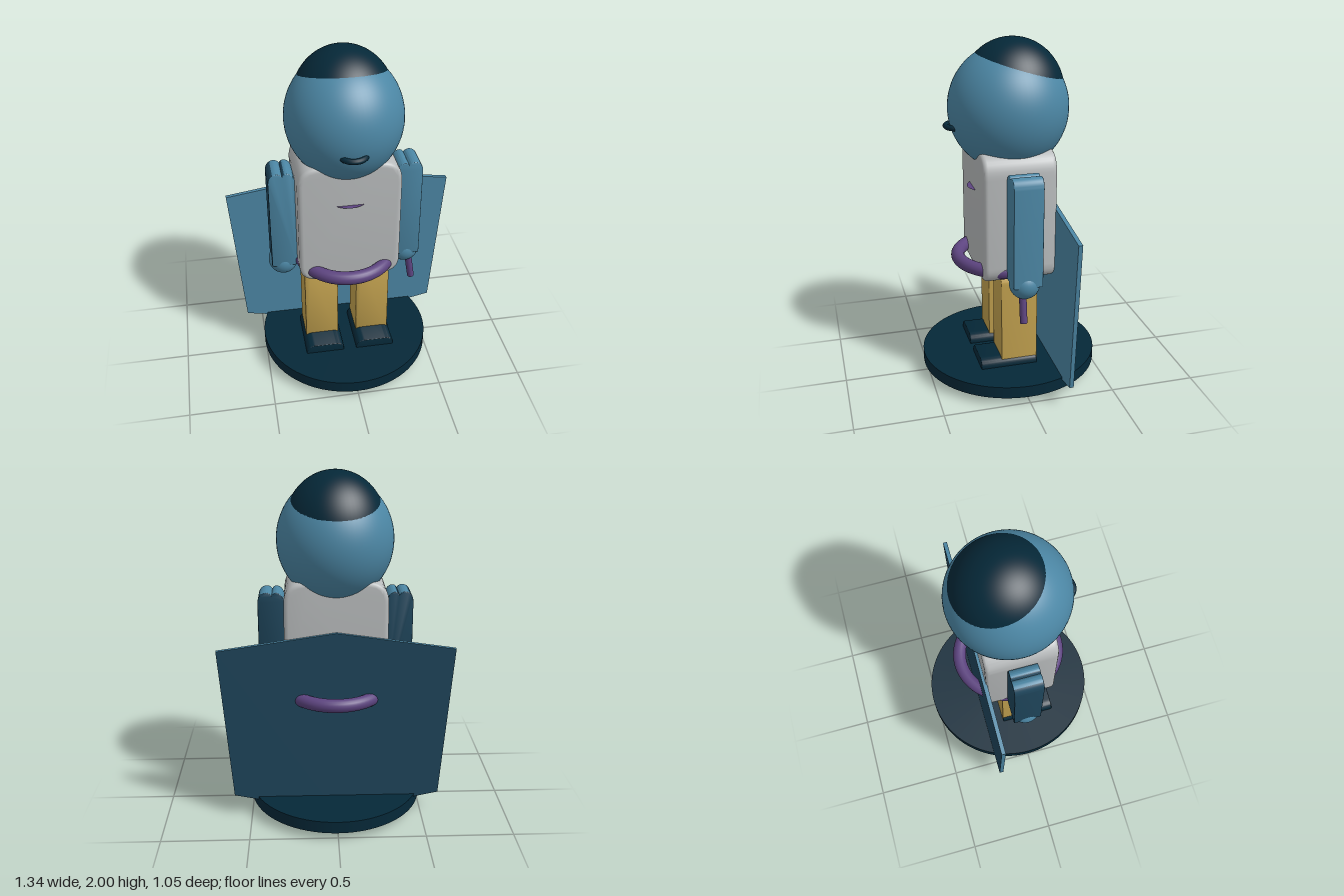
import * as THREE from 'three';
import { toCreasedNormals } from 'three/addons/utils/BufferGeometryUtils.js';

const material = (name, color, side = THREE.FrontSide) => {
  const m = new THREE.MeshStandardMaterial({ color, side });
  m.name = name;
  return m;
};

// Outline with corners rounded by radius rTop / rBottom
function roundedOutline(x0, x1, y0, y1, rTop, rBottom) {
  const s = new THREE.Shape();
  s.moveTo(x0 + rBottom, y0);
  s.lineTo(x1 - rBottom, y0);
  s.quadraticCurveTo(x1, y0, x1, y0 + rBottom);
  s.lineTo(x1, y1 - rTop);
  s.quadraticCurveTo(x1, y1, x1 - rTop, y1);
  s.lineTo(x0 + rTop, y1);
  s.quadraticCurveTo(x0, y1, x0, y1 - rTop);
  s.lineTo(x0, y0 + rBottom);
  s.quadraticCurveTo(x0, y0, x0 + rBottom, y0);
  return s;
}

// Arm outline with a shallow groove between two shoulder lobes
function armOutline(side) {
  const s = new THREE.Shape();
  const curve = (cx, cy, x, y) => s.quadraticCurveTo(side * cx, cy, side * x, y);
  s.moveTo(side * 0.29, 0.7);
  s.lineTo(side * 0.44, 0.7);
  s.lineTo(side * 0.44, 1.27);
  curve(0.435, 1.325, 0.39, 1.327);
  curve(0.37, 1.325, 0.36, 1.308);
  curve(0.35, 1.328, 0.328, 1.325);
  curve(0.295, 1.315, 0.29, 1.27);
  s.closePath();
  return s;
}

// Outline pushed along z from z0 to z1, with its rims softened inwards
function slab(shape, z0, z1, bevel = 0) {
  const g = new THREE.ExtrudeGeometry(shape, {
    depth: z1 - z0 - 2 * bevel, curveSegments: 10, bevelEnabled: bevel > 0,
    bevelSize: bevel, bevelThickness: bevel, bevelOffset: -bevel, bevelSegments: 4,
  });
  g.translate(0, 0, z0 + bevel);
  return toCreasedNormals(g, 0.6);
}

// Gives the second material to the triangles whose normal passes the test
function twoTone(geometry, test) {
  const p = geometry.attributes.position;
  const t = new THREE.Triangle();
  const n = new THREE.Vector3();
  geometry.clearGroups();
  for (let i = 0; i < p.count; i += 3) {
    t.setFromAttributeAndIndices(p, i, i + 1, i + 2).getNormal(n);
    geometry.addGroup(i, 3, test(n) ? 1 : 0);
  }
  return geometry;
}

export function createModel() {
  const model = new THREE.Group();
  const blue = material('blue', 0x4c87a5);
  const navy = material('navy', 0x1f465c);
  const dark = material('darkTeal', 0x052838);
  const grey = material('grey', 0xb9bcbd);
  const gold = material('gold', 0xc4a350);
  const purple = material('purple', 0x5d4480, THREE.DoubleSide);

  const add = (name, geometry, mat, x = 0, y = 0, z = 0) => {
    const mesh = new THREE.Mesh(geometry, mat);
    mesh.name = name;
    mesh.position.set(x, y, z);
    model.add(mesh);
    return mesh;
  };

  // Round stand
  add('base', new THREE.CylinderGeometry(1, 1, 0.07, 72), dark, 0, 0.083, 0).scale.set(0.508, 1, 0.523);

  // Flat cape behind the body, navy on its back
  const cape = new THREE.Shape([
    [0, 0.003], [0.6, 0.13], [0.672, 1.03], [0, 1.13], [-0.672, 1.03], [-0.6, 0.13],
  ].map(([x, y]) => new THREE.Vector2(x, y)));
  add('cape', twoTone(slab(cape, -0.222, -0.198), (n) => n.z < -0.5), [blue, navy]);

  // Torso, belt ring and small chest trim
  add('torso', slab(roundedOutline(-0.292, 0.292, 0.665, 1.415, 0.13, 0.1), -0.205, 0.21, 0.025), grey);
  add('belt', new THREE.TorusGeometry(0.3, 0.039, 20, 72).rotateX(Math.PI / 2), purple, 0, 0.728, 0).scale.x = 0.92;
  add('chestTrim', new THREE.CircleGeometry(0.114, 32, Math.PI, Math.PI).rotateX(-Math.PI / 2), purple, 0, 1.165, 0.126);

  // Head, with a smaller ellipsoid breaking through the crown as hair
  const radii = new THREE.Vector3(0.33, 0.355, 0.34);
  const headY = 1.613;
  add('head', new THREE.SphereGeometry(1, 64, 48), blue, 0, headY, 0).scale.copy(radii);
  const offset = new THREE.Vector3(0, 0.236, -0.068).multiply(radii);
  add('hair', new THREE.SphereGeometry(0.854, 64, 48), dark, 0, headY + offset.y, offset.z).scale.copy(radii);

  // Mouth: a small ring half sunk in the face
  add('mouth', new THREE.TorusGeometry(0.068, 0.016, 12, 40).rotateX(Math.PI / 2), dark, 0, 1.526, 0.287);

  for (const [label, side] of [['left', 1], ['right', -1]]) {
    // Sleeves are navy behind, and on the outside of the right arm
    const arm = twoTone(slab(armOutline(side), -0.084, 0.084, 0.005),
      (n) => n.z < -0.5 || (side < 0 && n.x < -0.5));
    add(label + 'Arm', arm, [blue, navy]);
    add(label + 'Hand', new THREE.SphereGeometry(0.087, 32, 24), blue, side * 0.368, 0.697, 0.003);
    add(label + 'Leg', slab(roundedOutline(-0.1, 0.1, 0.11, 0.69, 0.06, 0.005), -0.107, 0.107, 0.005), gold, side * 0.156);
    add(label + 'Shoe', slab(roundedOutline(-0.116, 0.116, 0.11, 0.172, 0.055, 0.005), -0.105, 0.23, 0.006), dark, side * 0.154);
  }

  // Short rod held in the left hand
  const rod = add('rod', new THREE.CylinderGeometry(0.021, 0.021, 0.2, 20), purple, 0.402, 0.576, 0.02);
  rod.rotation.z = 0.15;

  return model;
}
